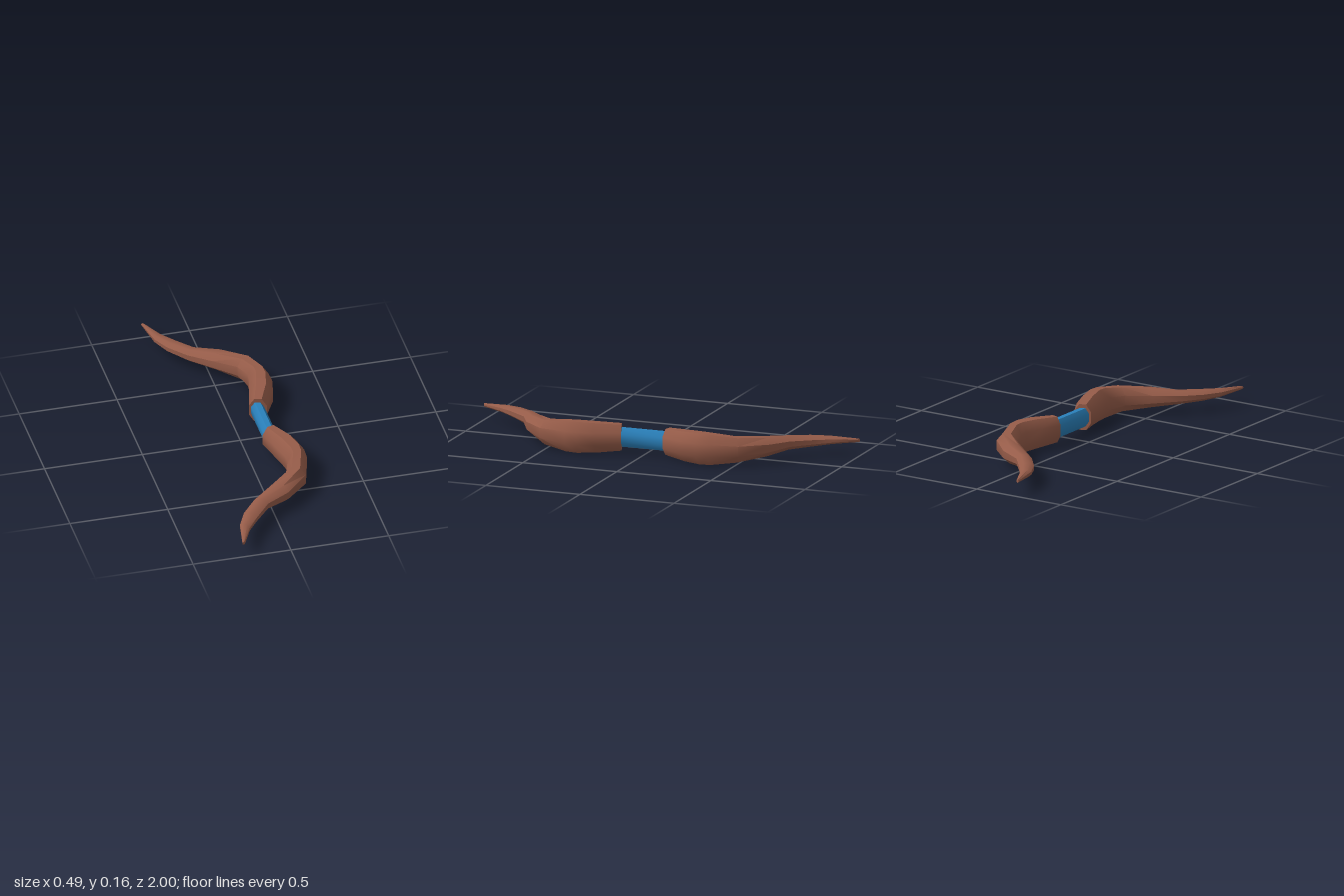
import * as THREE from 'three';
import { toCreasedNormals } from 'three/addons/utils/BufferGeometryUtils.js';

const SIDES = 8;
const MID_Y = 0.079;

// Each section: [outerX, outerZ, innerX, innerZ, halfHeight]
const LIMB = [
  [0.165, 0.11, 0.08, 0.135, 0.066],
  [0.226, 0.225, 0.113, 0.26, 0.075],
  [0.245, 0.315, 0.137, 0.355, 0.079],
  [0.242, 0.38, 0.14, 0.395, 0.077],
  [0.2, 0.525, 0.11, 0.48, 0.062],
  [0.08, 0.645, 0.005, 0.57, 0.047],
  [-0.04, 0.708, -0.1, 0.66, 0.033],
  [-0.125, 0.81, -0.177, 0.755, 0.026],
  [-0.18, 0.885, -0.22, 0.845, 0.019],
  [-0.232, 0.994, -0.247, 1.0, 0.008],
];

const GRIP = [
  [0.153, -0.14, 0.09, -0.14, 0.047],
  [0.153, 0.14, 0.09, 0.14, 0.047],
];

// Closed loft through octagonal sections; dir = -1 mirrors it along z
function loft(sections, dir = 1) {
  const pos = [];
  const index = [];
  const tri = (a, b, c) => (dir > 0 ? index.push(a, b, c) : index.push(a, c, b));
  const flat = Math.cos(Math.PI / SIDES);

  for (const [ox, oz, ix, iz, h] of sections) {
    for (let k = 0; k < SIDES; k++) {
      const a = ((k + 0.5) / SIDES) * Math.PI * 2;
      const t = Math.cos(a) / flat / 2;
      pos.push(
        (ox + ix) / 2 + (ox - ix) * t,
        MID_Y + (h * Math.sin(a)) / flat,
        dir * ((oz + iz) / 2 + (oz - iz) * t),
      );
    }
  }
  // Skin between neighbouring sections
  for (let i = 0; i < sections.length - 1; i++) {
    for (let k = 0; k < SIDES; k++) {
      const n = (k + 1) % SIDES;
      const a = i * SIDES + k, b = i * SIDES + n;
      tri(a, b, b + SIDES);
      tri(a, b + SIDES, a + SIDES);
    }
  }
  // End caps
  const last = (sections.length - 1) * SIDES;
  for (let k = 1; k < SIDES - 1; k++) {
    tri(0, k + 1, k);
    tri(last, last + k, last + k + 1);
  }
  const geo = new THREE.BufferGeometry();
  geo.setAttribute('position', new THREE.Float32BufferAttribute(pos, 3));
  geo.setIndex(index);
  return toCreasedNormals(geo, 0.75);
}

export function createModel() {
  const horn = new THREE.MeshStandardMaterial({ color: 0x965c49 });
  horn.name = 'brown horn';
  const wrap = new THREE.MeshStandardMaterial({ color: 0x2a80ba });
  wrap.name = 'blue grip';

  const bow = new THREE.Group();
  bow.name = 'bow';
  const add = (name, geo, mat) => {
    const mesh = new THREE.Mesh(geo, mat);
    mesh.name = name;
    bow.add(mesh);
  };

  // Curved limbs, mirrored front to back, joined by the grip
  add('frontLimb', loft(LIMB, 1), horn);
  add('backLimb', loft(LIMB, -1), horn);
  add('grip', loft(GRIP), wrap);
  return bow;
}
